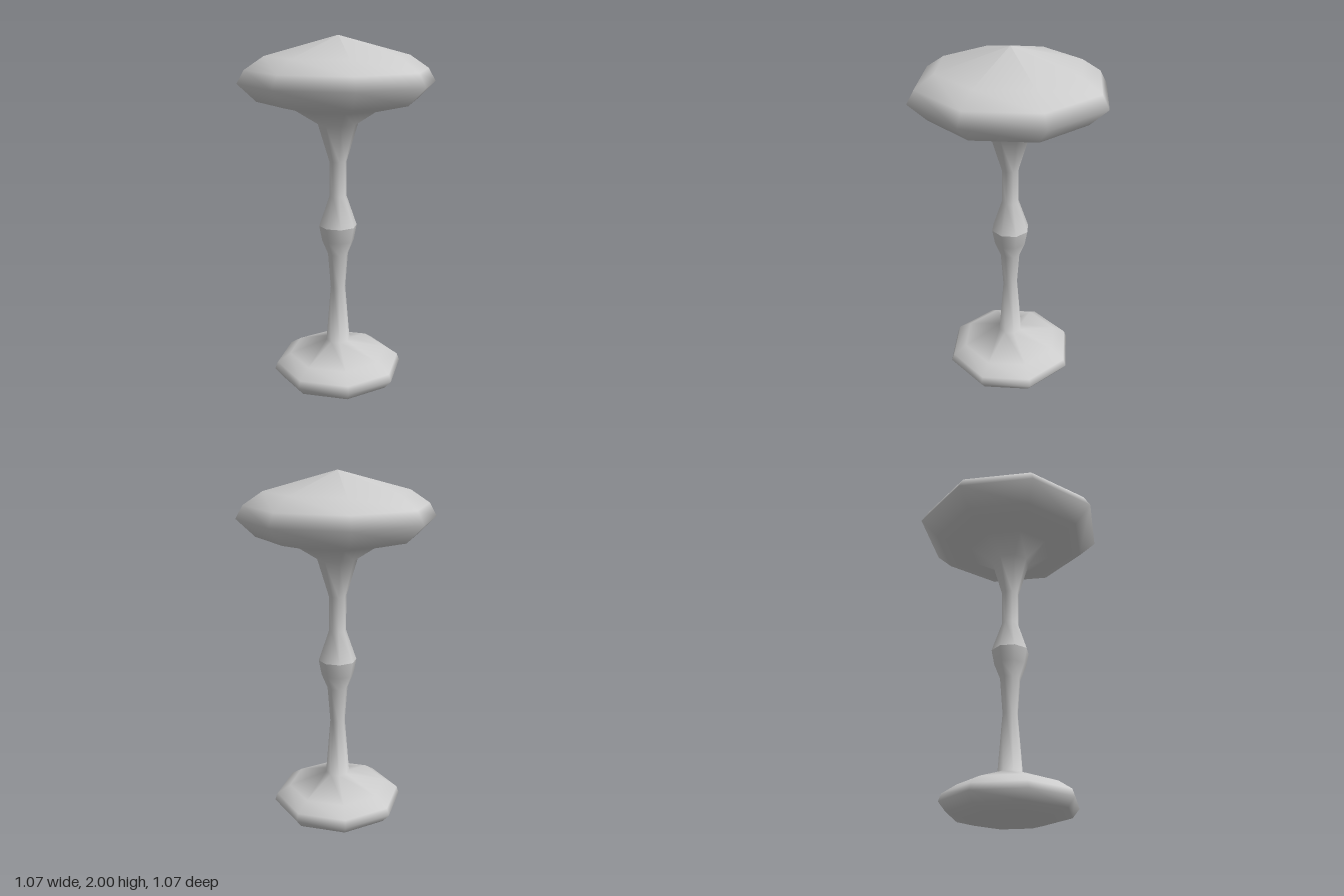
import * as THREE from 'three';

export function createModel() {
  const group = new THREE.Group();
  const grey = new THREE.MeshStandardMaterial({ color: 0xcccccc });
  grey.name = 'light grey';

  // Eight-sided turned part with smooth normals; profile runs bottom to top
  function turned(name, profile) {
    const points = profile.map(([r, y]) => new THREE.Vector2(r, y));
    const mesh = new THREE.Mesh(new THREE.LatheGeometry(points, 8), grey);
    mesh.name = name;
    group.add(mesh);
  }

  // Domed foot and lower stem, up to the sharp ring of the middle knop
  turned('footAndLowerStem', [
    [0, 0], [0.22, 0.03], [0.33, 0.06], [0.37, 0.11], [0.355, 0.15],
    [0.28, 0.2], [0.068, 0.275], [0.042, 0.6], [0.057, 0.8],
    [0.09, 0.88], [0.106, 0.965],
  ]);

  // Upper stem flaring into the wide cushioned top
  turned('upperStemAndTop', [
    [0.106, 0.965], [0.048, 1.135], [0.048, 1.33], [0.11, 1.535],
    [0.24, 1.615], [0.435, 1.66], [0.535, 1.755], [0.495, 1.825],
    [0.39, 1.895], [0, 2],
  ]);

  return group;
}
